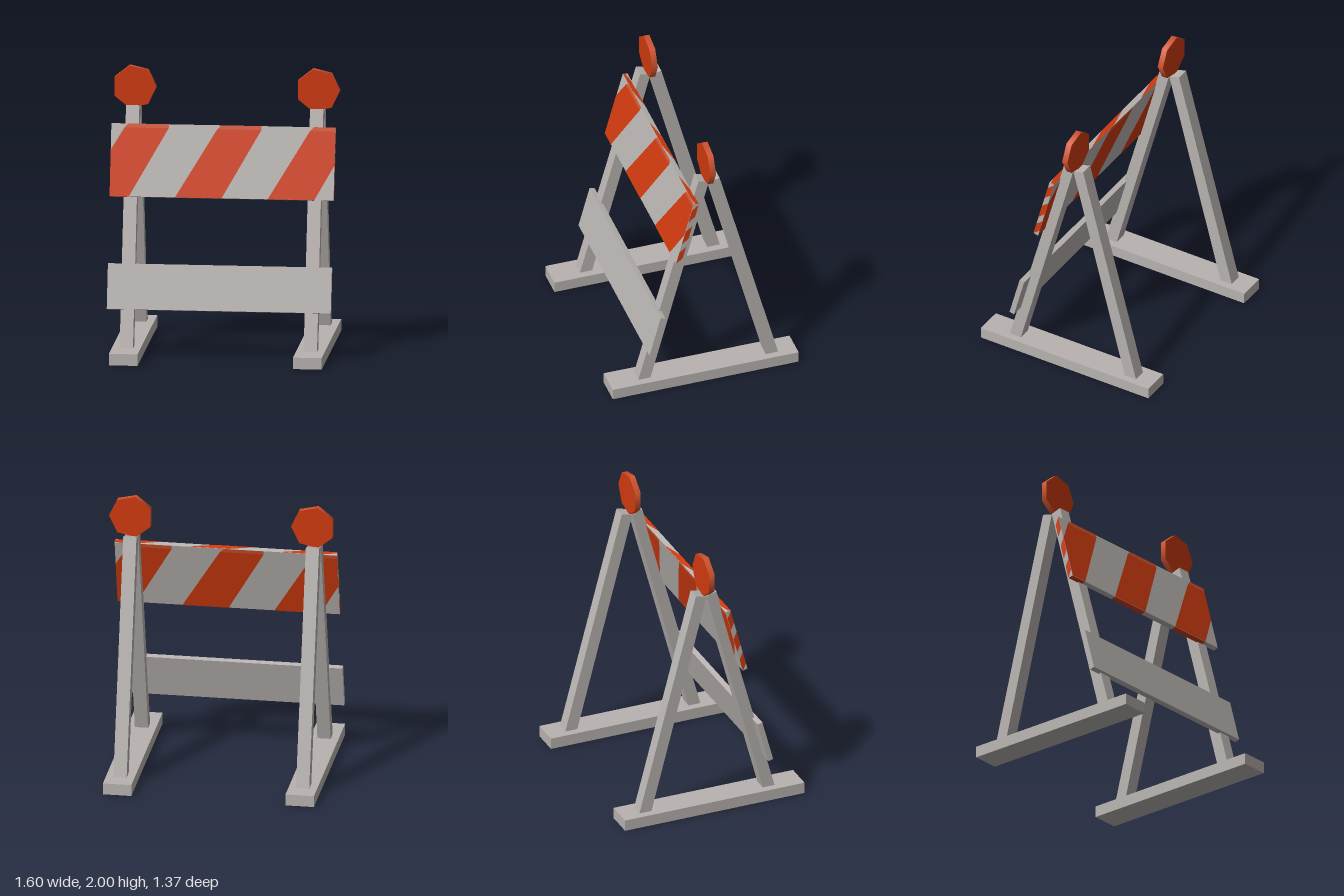
import * as THREE from 'three';

const mat = (name, color) => {
  const m = new THREE.MeshStandardMaterial({ color });
  m.name = name;
  return m;
};

const polygon = (pts) => new THREE.Shape(pts.map(([x, y]) => new THREE.Vector2(x, y)));

// Clips a convex polygon to -limit <= x <= limit
function clipX(pts, limit) {
  for (const side of [-1, 1]) {
    const out = [];
    pts.forEach((p, i) => {
      const q = pts[(i + 1) % pts.length];
      const dp = limit - side * p[0], dq = limit - side * q[0];
      if (dp >= 0) out.push(p);
      if (dp * dq < 0) {
        const t = dp / (dp - dq);
        out.push([p[0] + t * (q[0] - p[0]), p[1] + t * (q[1] - p[1])]);
      }
    });
    pts = out;
  }
  return pts;
}

export function createModel() {
  const grey = mat('paintedGrey', 0xb8b3b0);
  const orange = mat('safetyOrange', 0xd03a0e);
  const paleOrange = mat('paleOrange', 0xd2532e);

  const root = new THREE.Group();
  root.name = 'barricade';

  const add = (parent, name, geo, material, x = 0, y = 0, z = 0) => {
    const mesh = new THREE.Mesh(geo, material);
    mesh.name = name;
    mesh.position.set(x, y, z);
    parent.add(mesh);
    return mesh;
  };

  // Slab with a (z, y) outline and a width along x
  const slab = (pts, width) =>
    new THREE.ExtrudeGeometry(polygon(pts), { depth: width, bevelEnabled: false })
      .translate(0, 0, -width / 2)
      .rotateY(-Math.PI / 2);

  // Two A-frames, each with a foot, a pair of legs and a round lamp
  const frontLeg = [[0.483, 0.07], [0.393, 0.07], [-0.04, 1.705], [0.036, 1.728]];
  const backLeg = [[-0.463, 0.07], [-0.555, 0.07], [-0.12, 1.722], [-0.04, 1.7]];
  for (const [name, footX, legX, lampX] of [
    ['rightFrame', -0.658, -0.657, -0.65],
    ['leftFrame', 0.636, 0.637, 0.64],
  ]) {
    const frame = new THREE.Group();
    frame.name = name;
    root.add(frame);
    add(frame, 'foot', new THREE.BoxGeometry(0.202, 0.082, 1.37), grey, footX, 0.041, 0);
    add(frame, 'frontLeg', slab(frontLeg, 0.094), grey, legX);
    add(frame, 'backLeg', slab(backLeg, 0.094), grey, legX);
    const disc = new THREE.CylinderGeometry(0.155, 0.155, 0.042, 7, 1, false, Math.PI / 2).rotateX(Math.PI / 2);
    add(frame, 'lamp', disc, [paleOrange, orange, orange], lampX, 1.849, -0.036);
  }

  // Boards leaning along the front legs
  const W = 1.575, T = 0.0375, H = 0.512, tilt = -0.26;
  const board = (name, height, y, z) => {
    const g = new THREE.Group();
    g.name = name;
    g.position.set(-0.0125, y, z);
    g.rotation.x = tilt;
    add(g, name + 'Panel', new THREE.BoxGeometry(W, height, T), grey);
    root.add(g);
    return g;
  };
  board('lowerBoard', 0.321, 0.5, 0.368);
  const upper = board('upperBoard', H, 1.358, 0.148);

  // Painted faces on the upper board, just clear of the panel
  const gap = 0.002, half = W / 2, b = -H / 2, t = H / 2, h = T / 2, band = 0.228;
  const paint = (parent, name, pts, material, turn, x, y, z) =>
    add(parent, name, turn(new THREE.ShapeGeometry(polygon(pts))), material, x, y, z);
  const flat = (g) => g;

  // Slanted stripes on front and back, with a paler band along the top
  for (const ry of [0, Math.PI]) {
    const side = new THREE.Group();
    side.name = ry ? 'backPaint' : 'frontPaint';
    side.rotation.y = ry;
    upper.add(side);
    for (let k = -1; k <= 1; k++) {
      const move = (pts) => clipX(pts.map(([x, y]) => [x + 0.652 * k, y]), half);
      paint(side, 'stripe', move([[-0.3275, b], [0, b], [0.268, band], [-0.042, band]]),
        orange, flat, 0, 0, h + gap);
      paint(side, 'stripeTop', move([[-0.042, band], [0.268, band], [0.27, t], [-0.015, t]]),
        paleOrange, flat, 0, 0, h + gap);
    }
    // Short stripes on the board end
    for (const [lo, hi] of [[-0.256, -0.16], [-0.09, 0.02], [0.1, 0.2]]) {
      const rise = 0.05;
      paint(side, 'endStripe', [[-h, lo], [h, lo + rise], [h, hi + rise], [-h, hi]],
        orange, (g) => g.rotateY(Math.PI / 2), half + gap, 0, 0);
    }
  }

  // Stripes on the top and bottom edges
  for (let k = -1; k <= 1; k++) {
    const move = (pts) => clipX(pts.map(([x, y]) => [x + 0.652 * k, y]), half);
    paint(upper, 'topEdgeStripe', move([[-0.2, -h], [0.08, -h], [0.272, h], [-0.02, h]]),
      orange, (g) => g.rotateX(-Math.PI / 2), 0, t + gap, 0);
    paint(upper, 'bottomEdgeStripe', move([[-0.3275, -h], [0, -h], [0, h], [-0.3275, h]]),
      orange, (g) => g.rotateX(Math.PI / 2), 0, b - gap, 0);
  }

  return root;
}
